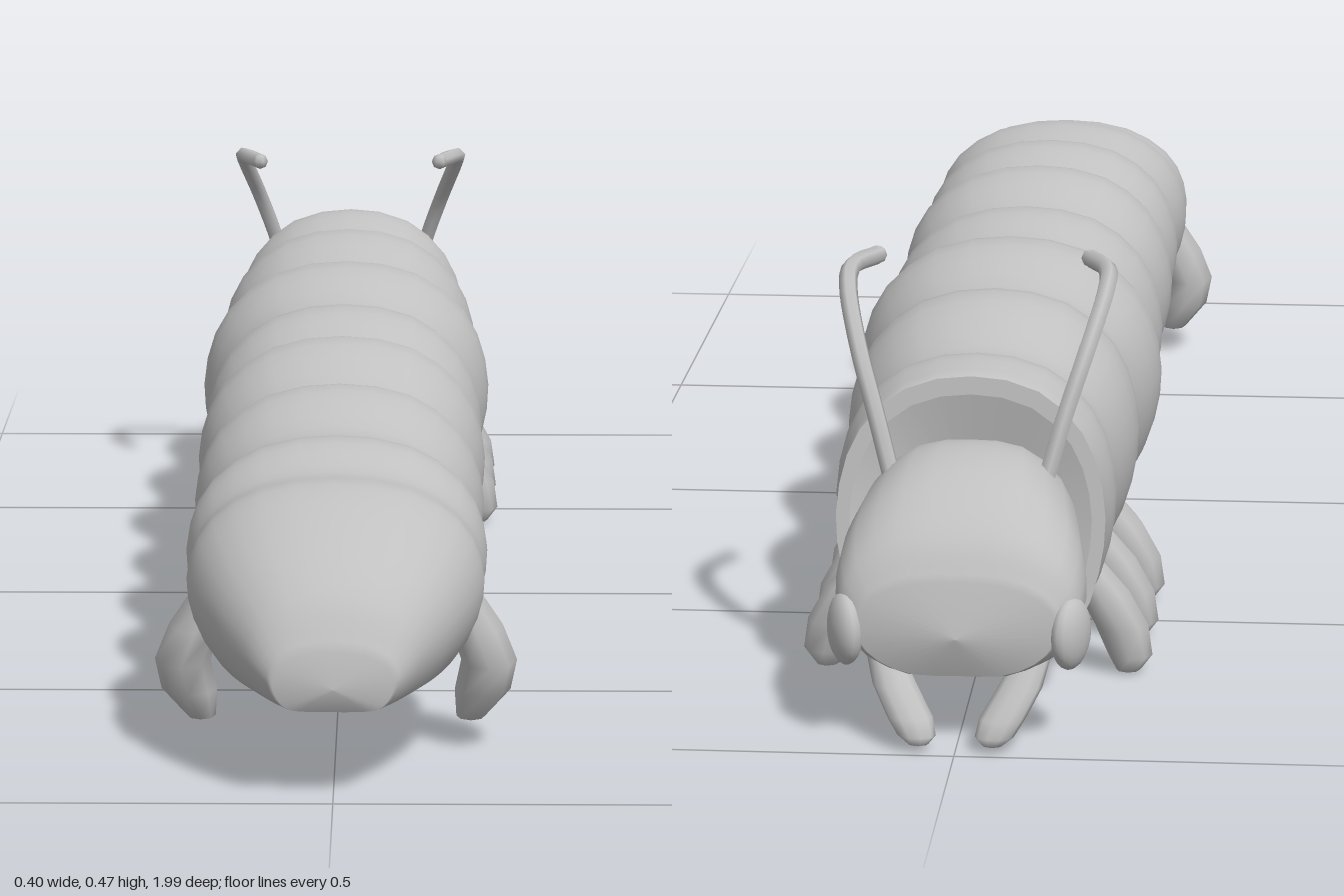
import * as THREE from 'three';

const skin = new THREE.MeshStandardMaterial({ color: 0xc0c0c0 });
skin.name = 'grey skin';

// Skin over a list of rings; each ring is an array of [x, y, z]
function loft(rings) {
  const n = rings[0].length, index = [];
  for (let i = 0; i < rings.length - 1; i++) {
    for (let j = 0; j < n; j++) {
      const k = (j + 1) % n, a = i * n + j, b = i * n + k;
      index.push(a, a + n, b, b, a + n, b + n);
    }
  }
  const g = new THREE.BufferGeometry();
  g.setAttribute('position', new THREE.Float32BufferAttribute(rings.flat(2), 3));
  g.setIndex(index);
  g.computeVertexNormals();
  return g;
}

const pointRing = (n, x, y, z) => Array.from({ length: n }, () => [x, y, z]);

// Half outlines as fractions of width and height, rounded into closed sections
function section(half, n) {
  const mirror = half.slice(1, -1).reverse().map(([x, y]) => [-x, y]);
  const pts = [...half, ...mirror].map(([x, y]) => new THREE.Vector3(x, y, 0));
  return new THREE.CatmullRomCurve3(pts, true).getPoints(n).slice(0, n);
}
const bodySection = section([[0, 0], [0.45, 0.005], [0.76, 0.05], [0.95, 0.27], [1, 0.5], [0.89, 0.74], [0.56, 0.93], [0, 1]], 32);
const headSection = section([[0, 0], [0.5, 0.02], [0.85, 0.2], [1, 0.45], [0.92, 0.74], [0.55, 0.95], [0, 1]], 28);
const ring = (sec, z, top, bottom, w) => sec.map((p) => [p.x * w, bottom + p.y * (top - bottom), z]);

// Tapering limb through horizontal oval sections [x, y, z, rx, rz]
function limb(side, stops, n) {
  const rings = stops.map(([x, y, z, rx, rz]) => Array.from({ length: n }, (_, i) => {
    const a = (i / n) * Math.PI * 2;
    return [side * x + Math.cos(a) * rx, y, z - Math.sin(a) * rz];
  }));
  const [x, y, z] = stops[stops.length - 1];
  rings.push(pointRing(n, side * x, y - 0.003, z));
  return loft(rings);
}

export function createModel() {
  const model = new THREE.Group();
  model.name = 'caterpillar';
  const add = (name, geometry) => {
    const m = new THREE.Mesh(geometry, skin);
    m.name = name;
    model.add(m);
    return m;
  };

  // Segmented body: z, top and half width at each crest and fold
  const stations = [
    [0.995, 0.17, 0.065], [0.96, 0.225, 0.095], [0.89, 0.275, 0.135], [0.8, 0.312, 0.163], [0.74, 0.314, 0.162],
    [0.67, 0.338, 0.168], [0.57, 0.322, 0.146], [0.46, 0.358, 0.167], [0.36, 0.33, 0.146],
    [0.24, 0.374, 0.171], [0.13, 0.338, 0.15], [0.02, 0.372, 0.17], [-0.09, 0.35, 0.148],
    [-0.21, 0.388, 0.181], [-0.34, 0.352, 0.152], [-0.47, 0.388, 0.168], [-0.6, 0.345, 0.143],
    [-0.7, 0.374, 0.156], [-0.76, 0.368, 0.15],
  ];
  const spine = new THREE.CatmullRomCurve3(stations.map((s) => new THREE.Vector3(...s)));
  const floor = (z) => 0.085 + 0.02 * z;
  const rings = [pointRing(32, 0, 0.13, 1)];
  for (const p of spine.getPoints(90)) rings.push(ring(bodySection, p.x, p.y, floor(p.x), p.z));
  // Collar lip leans forward at the bottom, then closes behind the head
  const lean = (r) => r.map(([x, y, z]) => [x, y, z - 0.035 * (1 - (y - 0.07) / 0.3)]);
  const lip = lean(ring(bodySection, -0.765, 0.365, 0.065, 0.149));
  const inner = lean(ring(bodySection, -0.765, 0.345, 0.08, 0.134));
  rings.push(lip, lip, inner, inner, pointRing(32, 0, 0.19, -0.74));
  add('body', loft(rings));

  // Head
  const headStations = [
    [-0.72, 0.28, 0.11], [-0.79, 0.297, 0.121], [-0.85, 0.29, 0.13], [-0.9, 0.268, 0.136],
    [-0.945, 0.232, 0.13], [-0.97, 0.19, 0.108],
  ];
  const headCurve = new THREE.CatmullRomCurve3(headStations.map((s) => new THREE.Vector3(...s)));
  const headRings = headCurve.getPoints(24).map((p) =>
    ring(headSection, p.x, p.y, 0.065 + Math.max(0, -0.9 - p.x) * 0.3, p.z));
  headRings.push(pointRing(28, 0, 0.13, -0.982));
  add('head', loft(headRings));

  for (const side of [1, -1]) {
    const label = side > 0 ? 'left' : 'right';

    // Eye
    const eye = add(label + 'Eye', new THREE.SphereGeometry(1, 16, 12));
    eye.scale.set(0.018, 0.04, 0.034);
    eye.position.set(side * 0.122, 0.13, -0.948);
    eye.rotation.y = side * 0.4;

    // Mandible
    add(label + 'Mandible', limb(side, [
      [0.085, 0.11, -0.93, 0.018, 0.016], [0.068, 0.07, -0.953, 0.024, 0.018],
      [0.05, 0.04, -0.972, 0.025, 0.018], [0.042, 0.022, -0.981, 0.021, 0.014], [0.04, 0.013, -0.984, 0.011, 0.008],
    ], 10));

    // Antenna with a flared tip
    const path = new THREE.CatmullRomCurve3([
      [0.085, 0.26, -0.805], [0.105, 0.33, -0.785], [0.125, 0.39, -0.755],
      [0.143, 0.445, -0.695], [0.143, 0.459, -0.65], [0.12, 0.459, -0.595],
    ].map(([x, y, z]) => new THREE.Vector3(side * x, y, z)));
    add(label + 'Antenna', new THREE.TubeGeometry(path, 20, 0.0105, 6));
    const tip = add(label + 'AntennaTip', new THREE.SphereGeometry(0.0105, 6, 4));
    tip.position.set(side * 0.12, 0.459, -0.595);

    // Three walking legs behind the head
    [[-0.42, 1.2], [-0.56, 1], [-0.69, 1]].forEach(([z, k], i) => {
      add(label + 'Leg' + (i + 1), limb(side, [
        [0.11, 0.14, z, 0.025, 0.033 * k], [0.14, 0.1, z, 0.03, 0.037 * k],
        [0.162, 0.06, z, 0.03, 0.031 * k], [0.172, 0.025, z, 0.025, 0.024 * k], [0.17, 0.008, z, 0.014, 0.016 * k],
      ], 8));
    });

    // Stubby hooked leg near the tail
    add(label + 'TailLeg', limb(side, [
      [0.13, 0.19, 0.755, 0.025, 0.05], [0.155, 0.145, 0.755, 0.03, 0.055], [0.17, 0.105, 0.755, 0.031, 0.05],
      [0.163, 0.07, 0.75, 0.031, 0.038], [0.15, 0.038, 0.745, 0.016, 0.022],
    ], 8));
  }
  return model;
}
